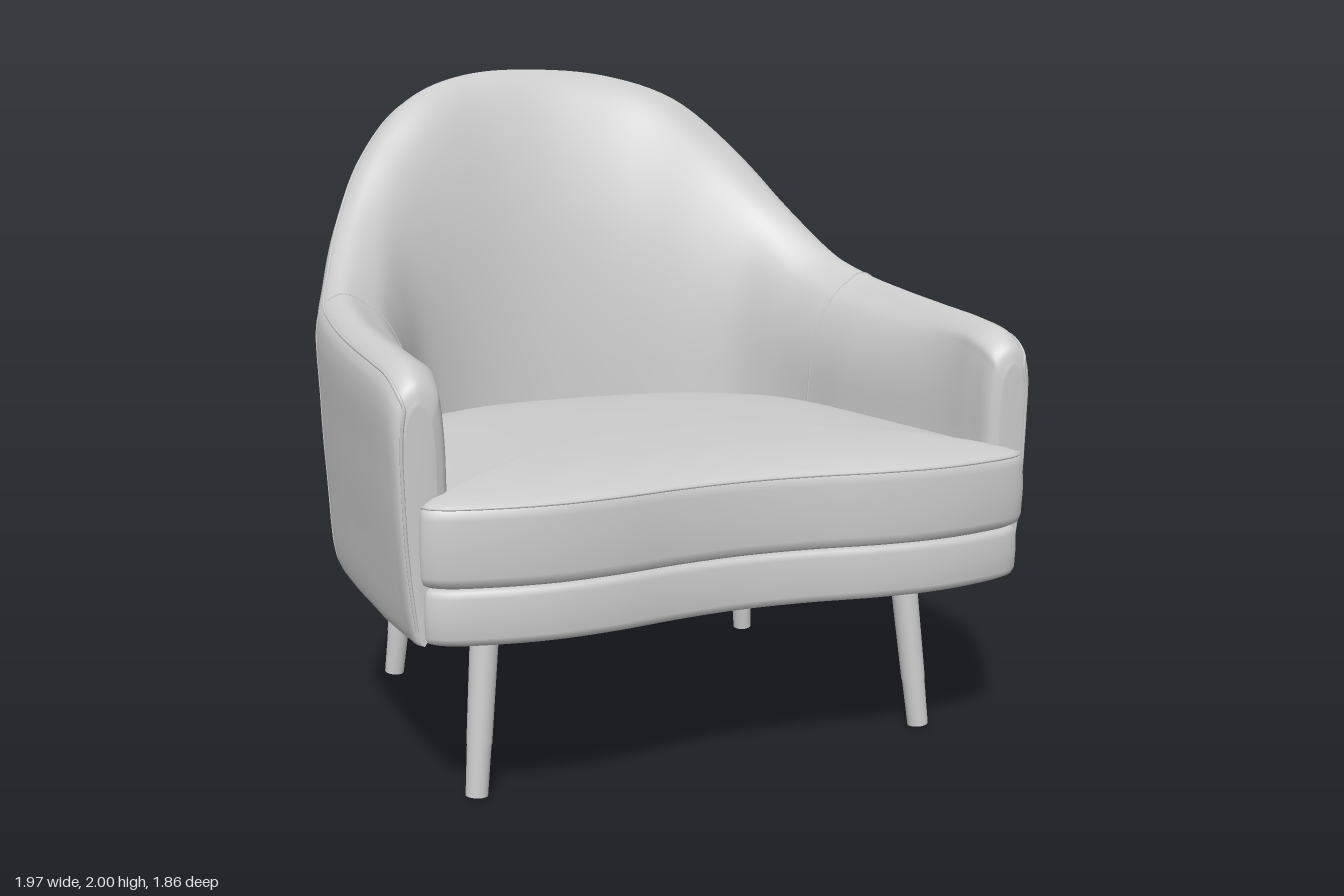
import * as THREE from 'three';

const V = (x, y, z) => new THREE.Vector3(x, y, z);
const material = new THREE.MeshStandardMaterial({ color: 0xcccccc });

function add(group, name, geometry) {
  const mesh = new THREE.Mesh(geometry, material);
  mesh.name = name;
  group.add(mesh);
  return mesh;
}

// Smooth skin over rows of points, each row a closed loop
function skin(rows) {
  const m = rows[0].length, index = [];
  for (let i = 0; i < rows.length - 1; i++) {
    for (let j = 0; j < m; j++) {
      const a = i * m + j, b = i * m + (j + 1) % m;
      index.push(a, a + m, b, b, a + m, b + m);
    }
  }
  const g = new THREE.BufferGeometry().setFromPoints(rows.flat());
  g.setIndex(index);
  g.computeVertexNormals();
  return g;
}

const tube = (points, r, closed = false, n = 160) =>
  new THREE.TubeGeometry(new THREE.CatmullRomCurve3(points, closed), n, r, 6, closed);

// Shell stations from arm front to back centre:
// outer top x, height, z | outer bottom x, z | inner x, z at seat level
const stations = [
  [0.925, 1.12, 0.80, 0.90, 0.80, 0.85, 0.80],
  [0.95, 1.175, 0.785, 0.915, 0.785, 0.82, 0.78],
  [0.965, 1.22, 0.72, 0.92, 0.72, 0.805, 0.71],
  [0.975, 1.24, 0.60, 0.925, 0.60, 0.785, 0.58],
  [0.98, 1.26, 0.38, 0.93, 0.38, 0.735, 0.36],
  [0.975, 1.285, 0.15, 0.93, 0.15, 0.695, 0.15],
  [0.955, 1.32, -0.06, 0.915, -0.06, 0.67, -0.03],
  [0.905, 1.385, -0.23, 0.86, -0.20, 0.625, -0.20],
  [0.82, 1.54, -0.44, 0.76, -0.36, 0.55, -0.33],
  [0.70, 1.73, -0.61, 0.62, -0.50, 0.42, -0.41],
  [0.52, 1.90, -0.76, 0.44, -0.60, 0.28, -0.455],
  [0.28, 1.98, -0.88, 0.23, -0.66, 0.14, -0.475],
  [0, 2.0, -0.925, 0, -0.68, 0, -0.48],
];
const mirrored = stations.slice(0, -1).reverse()
  .map(([a, h, b, c, d, e, f]) => [-a, h, b, -c, d, -e, f]);
const all = [...stations, ...mirrored];
const spline = (f) => new THREE.CatmullRomCurve3(all.map(f));
const topCurve = spline((s) => V(s[0], s[1], s[2]));
const bottomCurve = spline((s) => V(s[3], 0, s[4]));
const innerCurve = spline((s) => V(s[5], 0, s[6]));

// Closed cross-section of the shell: up the outside, over the crest, down the inside
const KEYS = 14;
function section(t) {
  const T = topCurve.getPoint(t), B = bottomCurve.getPoint(t), I = innerCurve.getPoint(t);
  const h = T.y;
  T.y = 0;
  const d = I.clone().sub(T), dist = d.length();
  d.normalize();
  const w = Math.min(0.17, dist), s = Math.min(1, B.distanceTo(I) / 0.2);
  const b = THREE.MathUtils.clamp((h - 1.3) / 0.7, 0, 1);
  const y0 = 0.48 + Math.max(0, B.z - 0.5) * 0.06;
  const at = (p, k, y) => p.clone().addScaledVector(d, k).setY(y);
  const wall = (k) => at(B.clone().lerp(T, k), -0.01 - 0.025 * b, 0.52 + (h - 0.59) * k);
  const q = at(T, w * 0.85, 0), qy = h - 0.035;
  const inner = (plan, drop) => q.clone().lerp(I, plan).setY(qy + (0.9 - qy) * drop);
  return new THREE.CatmullRomCurve3([
    at(B, 0.05 * s, y0), at(B, 0.025 * s, y0 + 0.003), at(B, 0, y0 + 0.04),
    wall(0.35), wall(0.68),
    at(T, 0, h - 0.07), at(T, w * 0.17, h - 0.02), at(T, w * 0.46, h),
    q.clone().setY(qy),
    inner(0.4 - 0.1 * b, 0.13), inner(0.82 - 0.1 * b, 0.47),
    at(I, 0, 0.9), at(I, 0, 0.52), at(B, 0.08 * s, 0.51),
  ], true);
}
const onShell = (t, key) => section(t).getPoint(key / KEYS);

function shellGeometry() {
  const rows = [], N = 144, M = 70;
  for (let i = 0; i <= N; i++) {
    const curve = section(i / N), row = [];
    for (let j = 0; j < M; j++) row.push(curve.getPoint(j / M));
    rows.push(row);
  }
  // Close both arm fronts
  const cap = (row) => {
    const c = row.reduce((a, p) => a.add(p), V(0, 0, 0)).divideScalar(M);
    return row.map(() => c.clone());
  };
  return skin([cap(rows[0]), ...rows, cap(rows[N])]);
}

// Seat plan: wavy front with ears in front of the arms
const half = [
  [0.2, 0.885], [0.4, 0.915], [0.58, 0.925], [0.75, 0.905], [0.87, 0.87], [0.905, 0.835],
  [0.88, 0.805], [0.86, 0.7], [0.82, 0.3], [0.78, 0], [0.7, -0.22], [0.6, -0.32],
  [0.43, -0.42], [0.22, -0.463],
];
const plan = new THREE.CatmullRomCurve3([
  V(0, 0, 0.872), ...half.map(([x, z]) => V(x, 0, z)),
  V(0, 0, -0.473), ...half.slice().reverse().map(([x, z]) => V(-x, 0, z)),
], true).getPoints(160).slice(0, -1);
const planRing = (s, y) => plan.map((p) => V(p.x * s, y, 0.2 + (p.z - 0.2) * s));
const pad = (levels) => skin(levels.map(([s, y]) => planRing(s, y)));

export function createModel() {
  const model = new THREE.Group();
  model.name = 'armchair';

  add(model, 'backAndArmsShell', shellGeometry());

  // Edge seam: up one arm front, round the crest, down the other
  const edge = [];
  for (let k = 2; k < 5.5; k += 0.5) edge.push(onShell(0.015, k));
  for (let i = 0; i <= 80; i++) edge.push(onShell(0.02 + 0.96 * i / 80, 5.7));
  for (let k = 5; k >= 2; k -= 0.5) edge.push(onShell(0.985, k));
  add(model, 'edgeSeam', tube(edge, 0.005, false, 300));

  // Seams where the arms meet the back
  for (const t of [0.25, 0.75]) {
    const seam = [];
    for (let k = 1; k <= 11; k += 0.25) seam.push(onShell(t, k));
    add(model, 'armSeam', tube(seam, 0.003));
  }

  // Small fabric tab on the left arm seam
  add(model, 'sideTab', new THREE.BoxGeometry(0.02, 0.09, 0.036)).position.set(0.945, 0.88, -0.07);

  add(model, 'seatCushion', pad([
    [0, 0.932], [0.2, 0.932], [0.4, 0.93], [0.6, 0.924], [0.75, 0.915], [0.87, 0.9], [0.95, 0.885],
    [0.98, 0.876], [0.994, 0.864], [1, 0.84], [1.003, 0.765], [1, 0.69], [0.992, 0.669],
    [0.975, 0.66], [0, 0.66],
  ]));
  add(model, 'cushionSeam', tube(planRing(0.991, 0.869), 0.004, true, 240));
  add(model, 'seatBase', pad([
    [0, 0.657], [0.965, 0.657], [0.98, 0.65], [0.988, 0.635], [0.99, 0.58],
    [0.988, 0.53], [0.98, 0.514], [0.965, 0.507], [0, 0.507],
  ]));

  // Splayed tapered legs with separate feet
  const up = V(0, 1, 0);
  const strut = (name, a, b, ra, rb) => {
    const dir = b.clone().sub(a);
    const mesh = add(model, name, new THREE.CylinderGeometry(rb, ra, dir.length(), 24));
    mesh.position.copy(a).add(b).multiplyScalar(0.5);
    mesh.quaternion.setFromUnitVectors(up, dir.normalize());
  };
  for (const side of [1, -1]) {
    for (const [place, x0, z0, x1, z1] of [
      ['front', 0.705, 0.635, 0.657, 0.59], ['back', 0.65, -0.452, 0.602, -0.405],
    ]) {
      const foot = V(side * x0, 0.002, z0), top = V(side * x1, 0.53, z1);
      const joint = foot.clone().lerp(top, 0.27);
      strut(place + 'Foot', foot, joint, 0.031, 0.034);
      strut(place + 'Leg', joint, top, 0.0355, 0.041);
    }
  }
  return model;
}
